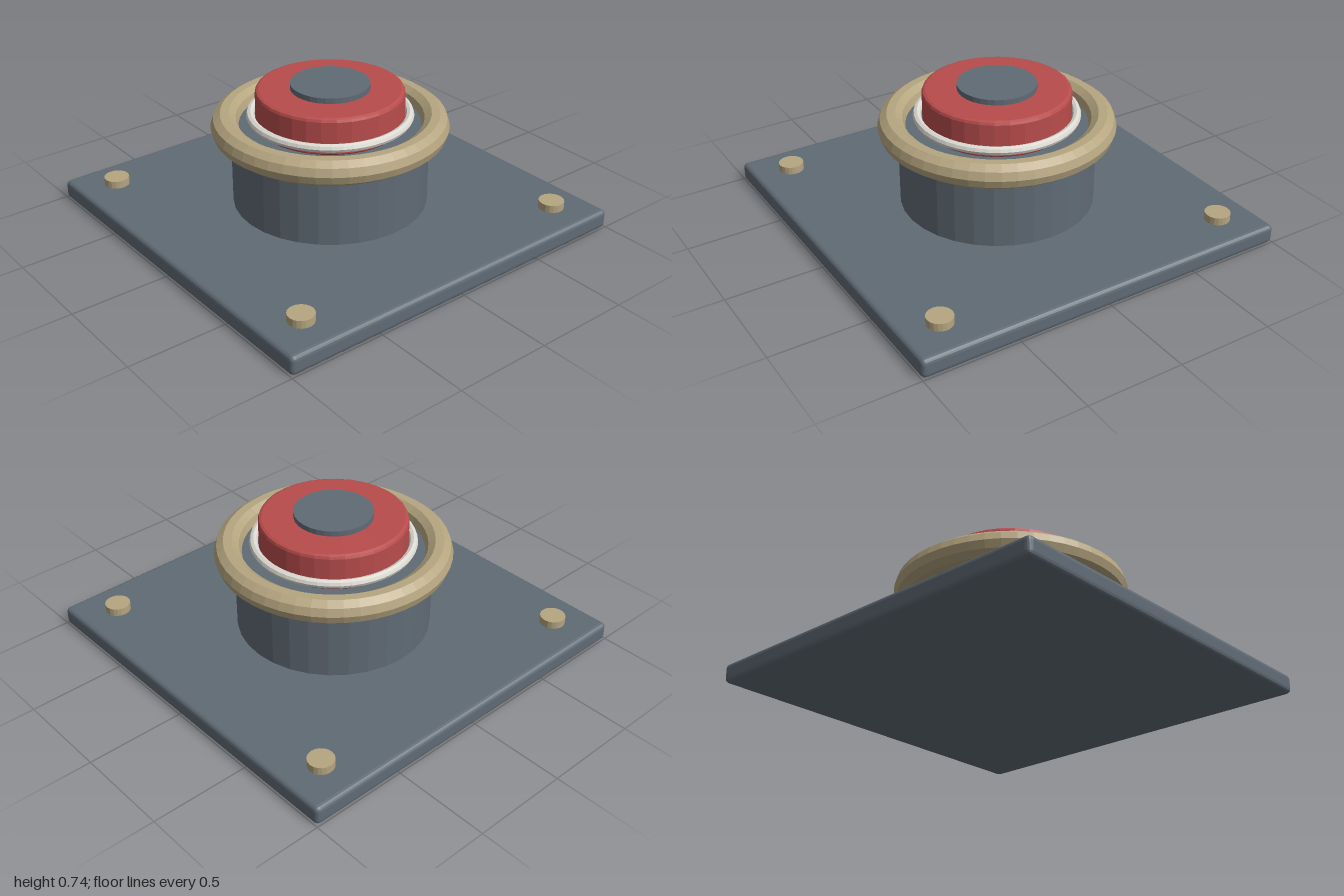
import * as THREE from 'three';
import { RoundedBoxGeometry } from 'three/addons/geometries/RoundedBoxGeometry.js';

export function createModel() {
  const model = new THREE.Group();
  model.name = 'pushButtonPanel';

  const material = (name, color) => {
    const m = new THREE.MeshStandardMaterial({ color, flatShading: true });
    m.name = name;
    return m;
  };
  const slate = material('slate grey', 0x606b75);
  const brass = material('dull brass', 0xb5a580);
  const red = material('button red', 0xb94c4c);
  const white = material('off white', 0xdcdad2);

  const add = (name, geometry, mat, x = 0, y = 0, z = 0) => {
    const mesh = new THREE.Mesh(geometry, mat);
    mesh.name = name;
    mesh.position.set(x, y, z);
    model.add(mesh);
    return mesh;
  };
  // Upright cylinder given by its bottom and top heights
  const disc = (name, mat, r, y0, y1, sides, x = 0, z = 0) =>
    add(name, new THREE.CylinderGeometry(r, r, y1 - y0, sides), mat, x, (y0 + y1) / 2, z);
  // Horizontal ring
  const ring = (name, mat, R, r, y, sides, segments) =>
    add(name, new THREE.TorusGeometry(R, r, sides, segments).rotateX(-Math.PI / 2), mat, 0, y, 0);

  // Square base plate with softened edges
  add('basePlate', new RoundedBoxGeometry(2, 0.1, 2, 2, 0.025), slate, 0, 0.05, 0);

  // Housing and its rings
  disc('housing', slate, 0.5, 0.09, 0.52, 32);
  ring('guardRing', brass, 0.53, 0.07, 0.52, 10, 48);
  ring('lightRing', white, 0.4, 0.022, 0.572, 8, 48);

  // Red button with bevelled rims
  const b = 0.018, r = 0.375, bottom = 0.51, top = 0.71;
  const profile = [
    [0, bottom], [r - b, bottom], [r, bottom + b],
    [r, top - b], [r - b * 0.3, top - b * 0.3], [r - b, top], [0, top],
  ].map(([x, y]) => new THREE.Vector2(x, y));
  add('button', new THREE.LatheGeometry(profile, 32), red);
  disc('buttonCap', slate, 0.2, 0.7, 0.738, 32);

  // Corner bolts
  for (const x of [-0.8, 0.8]) {
    for (const z of [-0.8, 0.8]) disc('cornerBolt', brass, 0.065, 0.09, 0.14, 20, x, z);
  }
  return model;
}
